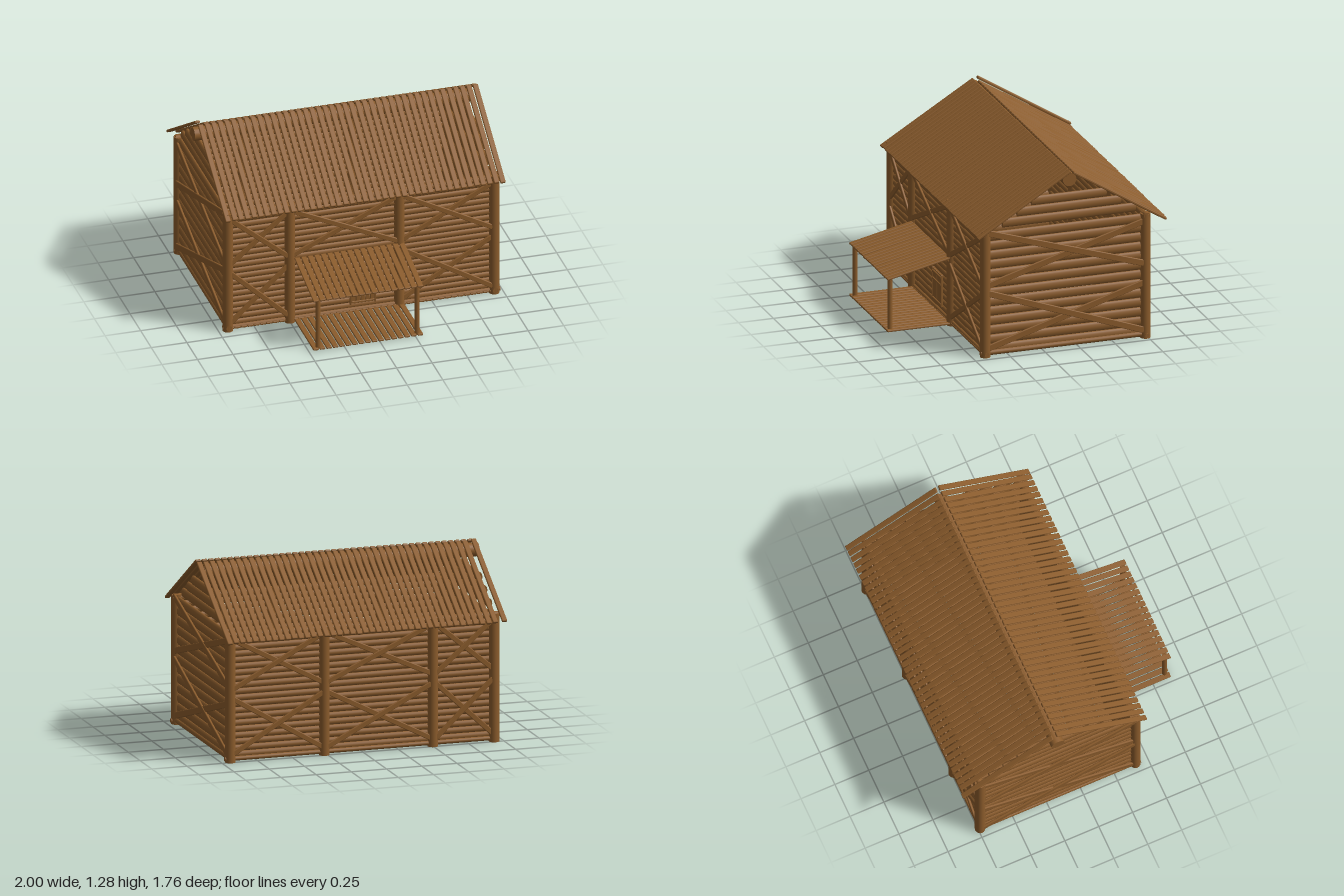
import * as THREE from 'three';
import { RoundedBoxGeometry } from 'three/addons/geometries/RoundedBoxGeometry.js';

const V = (x, y, z) => new THREE.Vector3(x, y, z);

export function createModel() {
  const model = new THREE.Group();
  const wood = new THREE.MeshStandardMaterial({ color: 0x8b5c2c });
  wood.name = 'brown wood';

  // small seeded variation so the boards look hand cut
  let seed = 7;
  const jitter = (s) => {
    seed = (seed * 16807) % 2147483647;
    return (seed / 2147483647 - 0.5) * 2 * s;
  };

  const group = (name) => {
    const g = new THREE.Group();
    g.name = name;
    model.add(g);
    return g;
  };

  // turn a mesh so its y axis runs from a to b and its z axis follows the normal
  const place = (mesh, a, b, normal) => {
    const y = b.clone().sub(a).normalize();
    const x = y.clone().cross(normal).normalize();
    const z = x.clone().cross(y);
    mesh.quaternion.setFromRotationMatrix(new THREE.Matrix4().makeBasis(x, y, z));
    mesh.position.copy(a).add(b).multiplyScalar(0.5);
  };

  const board = (parent, name, a, b, width, thick, normal) => {
    const geo = new RoundedBoxGeometry(width, a.distanceTo(b), thick, 1, thick * 0.35);
    const mesh = new THREE.Mesh(geo, wood);
    mesh.name = name;
    place(mesh, a, b, normal);
    parent.add(mesh);
  };

  const log = (parent, name, a, b, r, normal = V(0, 0, 1), flat = 1, sides = 12) => {
    const geo = new THREE.CylinderGeometry(r, r, a.distanceTo(b), sides);
    geo.scale(1, 1, flat);
    const mesh = new THREE.Mesh(geo, wood);
    mesh.name = name;
    place(mesh, a, b, normal);
    parent.add(mesh);
  };

  const postX = [-0.935, -0.5, 0.27, 0.938];
  const zFront = 0.41, zBack = -0.735, ridgeZ = -0.19;
  const FRONT = V(0, 0, 1), BACK = V(0, 0, -1), UP = V(0, 1, 0);

  // corner and middle posts
  const posts = group('posts');
  for (const x of postX) {
    for (const z of [zFront, zBack]) {
      log(posts, 'post', V(x, 0, z), V(x, z > 0 ? 0.9 : 0.89, z), 0.036, FRONT, 1, 16);
    }
  }

  // long walls of thin logs
  const walls = group('walls');
  for (let i = 0; i < 20; i++) {
    const y = 0.05 + i * 0.0435;
    log(walls, 'frontLog', V(-0.93, y, zFront - 0.012), V(0.93, y, zFront - 0.012), 0.0212, FRONT, 0.7);
    log(walls, 'backLog', V(-0.93, y, zBack + 0.012), V(0.93, y, zBack + 0.012), 0.0212, BACK, 0.7);
  }

  // end walls, with the gable rows shortening under the roof
  for (const s of [-1, 1]) {
    for (let i = 0; i < 16; i++) {
      const y = 0.05 + i * 0.067 + (i > 12 ? 0.018 : 0);
      const half = i > 12 ? (1.245 - y) * 1.55 : 0.56;
      const mid = i > 12 ? ridgeZ : (zFront + zBack) / 2;
      log(walls, 'endLog', V(s * 0.928, y, mid - half), V(s * 0.928, y, mid + half), 0.0328, V(s, 0, 0), 0.55);
    }
  }

  // sills at the foot and plates under the eaves
  const frame = group('sillsAndPlates');
  for (const z of [zFront, zBack]) {
    log(frame, 'sill', V(-0.97, 0.024, z), V(0.978, 0.024, z), 0.016);
    log(frame, 'eavePlate', V(-0.96, 0.88, z), V(0.97, 0.88, z), 0.022);
  }
  for (const x of [-0.935, 0.938]) {
    log(frame, 'endSill', V(x, 0.028, zBack - 0.02), V(x, 0.028, zFront + 0.035), 0.02, UP);
  }
  log(frame, 'ridgeLog', V(-1, 1.2, ridgeZ), V(0.95, 1.2, ridgeZ), 0.048, FRONT, 1, 20);

  // crossed braces on every wall panel
  const braces = group('braces');
  const levels = [[0.06, 0.44], [0.51, 0.85]];
  for (const [z, n] of [[zFront + 0.014, FRONT], [zBack - 0.014, BACK]]) {
    for (let p = 0; p < 3; p++) {
      const x0 = postX[p] + 0.015, x1 = postX[p + 1] - 0.015;
      levels.forEach(([y0, y1], k) => {
        if (p === 1 && k === 0 && z > 0) return; // entrance panel stays open
        board(braces, 'brace', V(x0, y0, z), V(x1, y1, z), 0.036, 0.016, n);
        board(braces, 'brace', V(x0, y1, z + n.z * 0.006), V(x1, y0, z + n.z * 0.006), 0.036, 0.016, n);
      });
    }
  }
  for (const s of [-1, 1]) {
    const x = s * 0.953;
    for (const [f0, b0, f1, b1] of [[0.06, 0.4, 0.46, 0.06], [0.51, 0.84, 0.89, 0.54]]) {
      board(braces, 'endBrace', V(x, f0, 0.4), V(x, b0, -0.72), 0.045, 0.016, V(s, 0, 0));
      board(braces, 'endBrace', V(x + s * 0.006, f1, 0.4), V(x + s * 0.006, b1, -0.72), 0.045, 0.016, V(s, 0, 0));
    }
  }

  // floor boards
  const floor = group('floor');
  for (let i = 0; i < 42; i++) {
    const x = -0.915 + i * 0.0448;
    board(floor, 'floorBoard', V(x, 0.019, zBack), V(x, 0.019, zFront + 0.02), 0.043, 0.016, UP);
  }

  // two slopes of roof boards
  const roof = group('roof');
  for (let i = 0; i < 43; i++) {
    const x = -0.95 + i * 0.04598;
    const d = jitter(0.003), rise = (i / 42) * 0.008 - 0.004;
    board(roof, 'frontRoofBoard', V(x, 1.271 + rise, -0.183), V(x + d * 0.5, 0.868 + d, 0.48), 0.037, 0.018, V(0, 0.85, 0.53));
    const back = i === 0 ? 0.012 : 0; // the first back board sits a little proud
    board(roof, 'backRoofBoard', V(x - back, 1.264 + back, -0.2 - back), V(x - back + d * 0.5, 0.852 + back + d, -0.867 - back),
      0.037, 0.018, V(0, 0.85, -0.53));
  }

  // porch with board floor, sloping roof and two posts
  const porch = group('porch');
  for (let i = 0; i < 17; i++) {
    const x = -0.454 + i * 0.0459;
    board(porch, 'porchFloorBoard', V(x, 0.018, 0.43), V(x, 0.018, 0.88), 0.038, 0.015, UP);
    board(porch, 'porchRoofBoard', V(x, 0.488, 0.43), V(x, 0.387 + jitter(0.002), 0.88), 0.038, 0.014, V(0, 1, 0.2));
  }
  for (const x of [-0.434, 0.262]) {
    log(porch, 'porchPost', V(x, 0.015, 0.85), V(x, 0.388, 0.85), 0.017);
  }
  log(porch, 'porchFrontBeam', V(-0.46, 0.38, 0.85), V(0.29, 0.38, 0.85), 0.008);
  log(porch, 'porchWallBeam', V(-0.46, 0.473, 0.44), V(0.29, 0.473, 0.44), 0.01);

  // door of upright slats and cross rails
  const door = group('door');
  for (let i = 0; i < 5; i++) {
    const x = -0.056 + i * 0.0335;
    board(door, 'doorSlat', V(x, 0.072, 0.418), V(x, 0.295, 0.418), 0.03, 0.014, FRONT);
  }
  for (const y of [0.085, 0.225, 0.278]) {
    board(door, 'doorRail', V(-0.07, y, 0.428), V(0.092, y, 0.428), 0.016, 0.01, FRONT);
  }
  for (const x of [-0.076, 0.098]) {
    board(door, 'doorJamb', V(x, 0.065, 0.42), V(x, 0.3, 0.42), 0.012, 0.02, FRONT);
  }
  return model;
}
